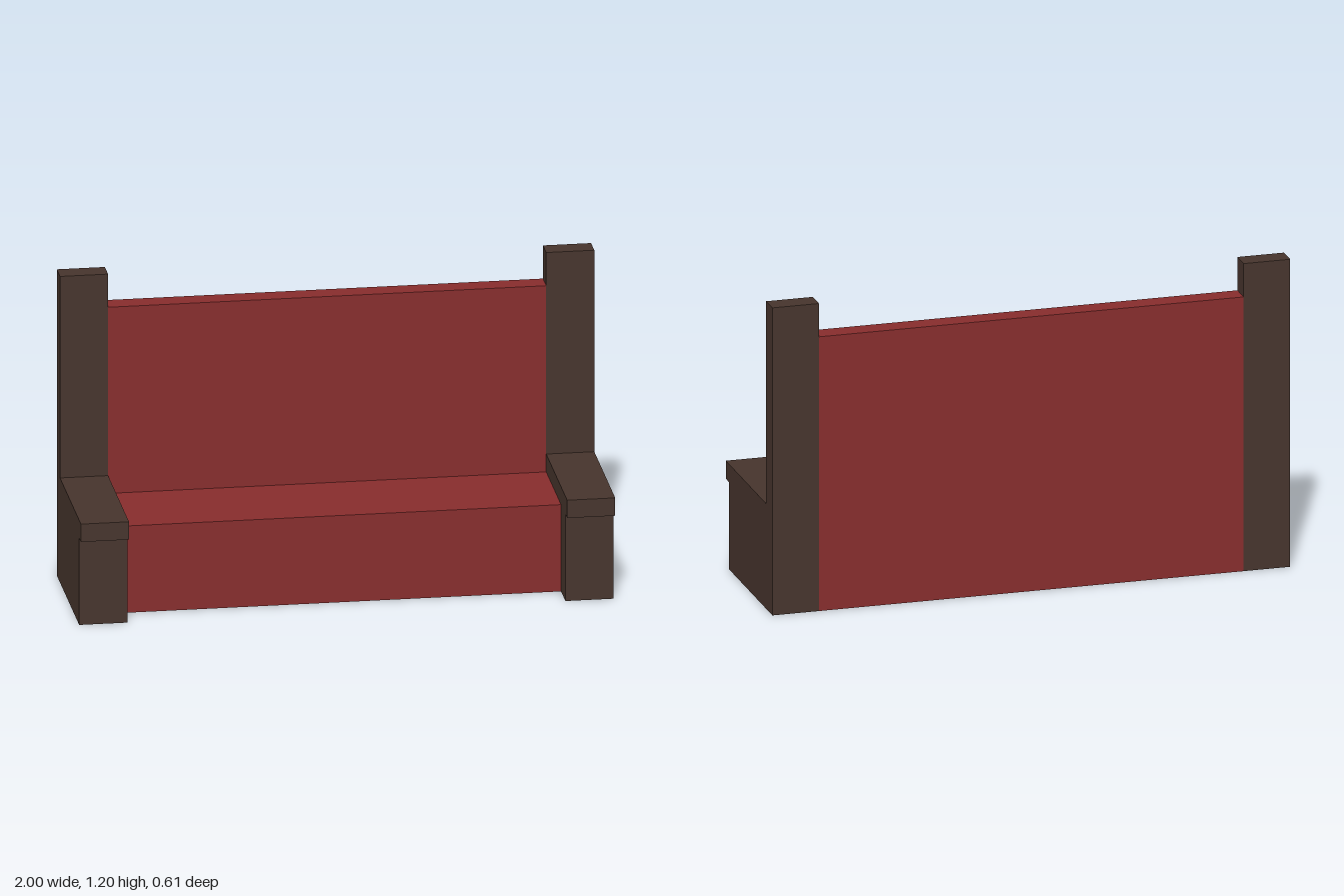
import * as THREE from 'three';

const wood = new THREE.MeshStandardMaterial({ name: 'darkWood', color: 0x46342c });
const fabric = new THREE.MeshStandardMaterial({ name: 'redUpholstery', color: 0x862c2c });

// Extrudes a side profile of [z, y] points from xMin to xMax
function profilePart(name, points, xMin, xMax, material) {
  const shape = new THREE.Shape(points.map(([z, y]) => new THREE.Vector2(z, y)));
  const geometry = new THREE.ExtrudeGeometry(shape, { depth: xMax - xMin, bevelEnabled: false });
  geometry.rotateY(-Math.PI / 2);
  geometry.translate(xMax, 0, 0);
  const mesh = new THREE.Mesh(geometry, material);
  mesh.name = name;
  return mesh;
}

export function createModel() {
  const bench = new THREE.Group();
  bench.name = 'bench';

  const back = -0.303, postFront = -0.222, inner = 0.82;

  // Bench end: tall back post, solid side and overhanging armrest
  const endProfile = [
    [back, 0], [0.26, 0], [0.26, 0.34], [0.303, 0.34],
    [0.303, 0.41], [postFront, 0.41], [postFront, 1.2], [back, 1.2],
  ];
  bench.add(profilePart('leftEnd', endProfile, inner, 1, wood));
  bench.add(profilePart('rightEnd', endProfile, -1, -inner, wood));

  // Upholstered seat and backrest between the ends
  const seatProfile = [
    [back, 0], [0.15, 0], [0.15, 0.34],
    [postFront, 0.34], [postFront, 1.07], [back, 1.07],
  ];
  bench.add(profilePart('seatAndBackrest', seatProfile, -inner, inner, fabric));

  return bench;
}
